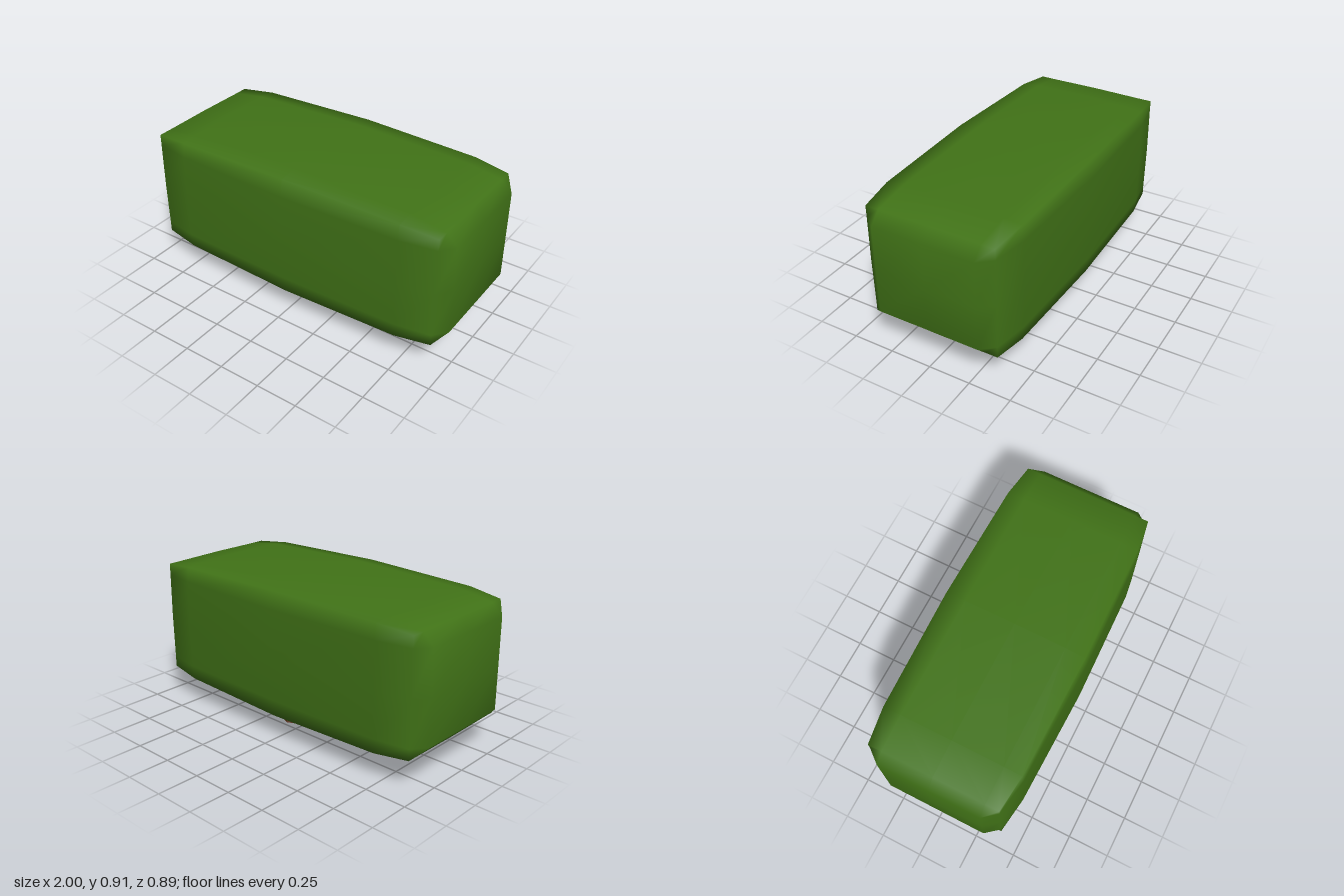
import * as THREE from 'three';
import { mergeVertices } from 'three/addons/utils/BufferGeometryUtils.js';

// Bulging box: a 4x4x4 grid whose faces swell towards the middle
function hedgeGeometry() {
  let g = new THREE.BoxGeometry(4, 4, 4, 4, 4, 4);
  g.deleteAttribute('normal');
  g.deleteAttribute('uv');
  g = mergeVertices(g);
  const halfY = [0.393, 0.372, 0.34], halfZ = [0.443, 0.424, 0.388];
  const edgeDrop = [0.02, 0.014, 0.003], p = g.attributes.position;
  for (let n = 0; n < p.count; n++) {
    const v = [p.getX(n), p.getY(n), p.getZ(n)].map(Math.round);
    const [i, j, k] = v.map(Math.abs);
    let x = [0, 0.72, 0.93][i], y = [0, 0.27, 0][j], z = [0, 0.305, 0][k];
    if (i === 2 && j < 2 && k < 2) x = j + k ? 0.995 : 1; // end cap
    if (j === 2) y = halfY[i] - (k === 2 ? edgeDrop[i] : k * 0.003);
    if (k === 2) z = halfZ[i] - (j === 2 ? edgeDrop[i] : j * 0.003);
    p.setXYZ(n, Math.sign(v[0]) * x, 0.521 + Math.sign(v[1]) * y, Math.sign(v[2]) * z);
  }
  g.computeVertexNormals();
  return g;
}

// Tapered limb through sections [x, y, z, radius]
function limbGeometry(sections, sides) {
  const pts = sections.map(s => new THREE.Vector3(s[0], s[1], s[2]));
  const last = pts.length - 1, up = new THREE.Vector3(0, 1, 0);
  const g = new THREE.CylinderGeometry(1, 1, last, sides, last);
  const p = g.attributes.position, v = new THREE.Vector3();
  const turns = pts.map((_, i) => {
    const t = pts[Math.min(i + 1, last)].clone().sub(pts[Math.max(i - 1, 0)]).normalize();
    return new THREE.Quaternion().setFromUnitVectors(up, i === 0 ? up : t);
  });
  for (let n = 0; n < p.count; n++) {
    const i = Math.round(p.getY(n) + last / 2);
    v.set(p.getX(n), 0, p.getZ(n)).multiplyScalar(sections[i][3]);
    v.applyQuaternion(turns[i]).add(pts[i]);
    p.setXYZ(n, v.x, v.y, v.z);
  }
  g.computeVertexNormals();
  return g;
}

export function createModel() {
  const model = new THREE.Group();
  const leaf = new THREE.MeshStandardMaterial({ color: 0x417317 });
  const bark = new THREE.MeshStandardMaterial({ color: 0x54290f, flatShading: true });
  const add = (name, geometry, material) => {
    const mesh = new THREE.Mesh(geometry, material);
    mesh.name = name;
    model.add(mesh);
  };

  add('foliage', hedgeGeometry(), leaf);

  // Flared stump that forks into two crooked branches
  const stump = new THREE.CylinderGeometry(0.052, 0.078, 0.06, 8);
  stump.scale(0.95, 1, 1.06).translate(0.1, 0.03, -0.142);
  add('trunk', stump, bark);
  add('frontBranch', limbGeometry([
    [0.095, 0.045, -0.128, 0.045], [0.058, 0.1, -0.07, 0.025],
    [0.068, 0.13, -0.088, 0.015], [0.08, 0.17, -0.105, 0.009]], 6), bark);
  add('rearBranch', limbGeometry([
    [0.105, 0.045, -0.155, 0.045], [0.14, 0.094, -0.21, 0.022],
    [0.188, 0.117, -0.262, 0.017], [0.19, 0.17, -0.28, 0.009]], 6), bark);
  return model;
}
